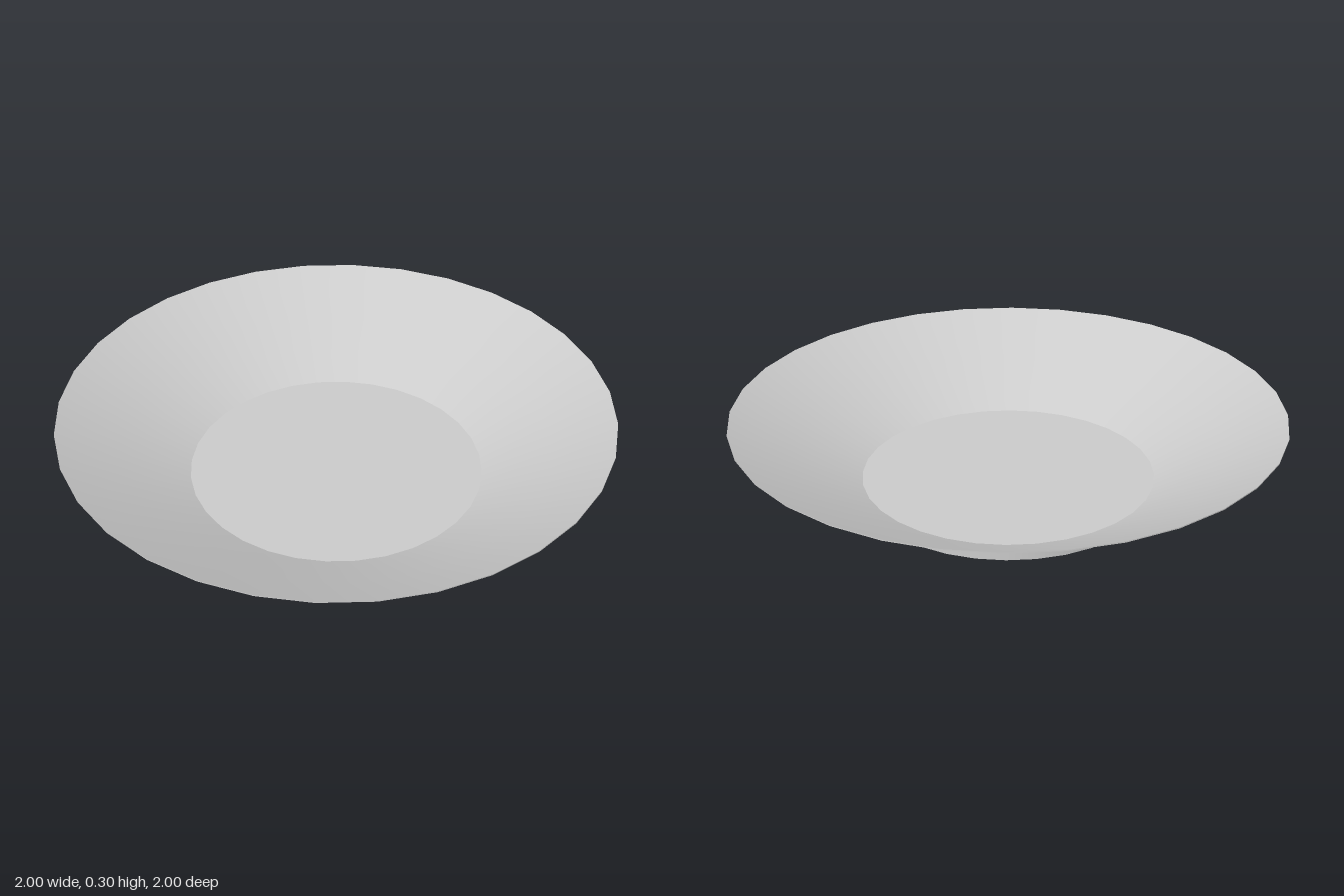
import * as THREE from 'three';

const SIDES = 32;
const FOOT_RADIUS = 0.53;
const FLOOR_Y = 0.06;

export function createModel() {
  const model = new THREE.Group();
  model.name = 'plate';
  const material = new THREE.MeshStandardMaterial({ color: 0xcccccc, side: THREE.DoubleSide });

  const add = (name, geometry, y = 0) => {
    const mesh = new THREE.Mesh(geometry, material);
    mesh.name = name;
    mesh.position.y = y;
    model.add(mesh);
    return mesh;
  };
  const lathe = (profile) =>
    new THREE.LatheGeometry(profile.map(([r, y]) => new THREE.Vector2(r, y)), SIDES);

  // Short round foot, closed underneath
  add('foot', new THREE.CylinderGeometry(FOOT_RADIUS, FOOT_RADIUS, 0.045, SIDES), 0.0225);

  // Flat eating surface
  add('floor', new THREE.CircleGeometry(FOOT_RADIUS, SIDES).rotateX(-Math.PI / 2), FLOOR_Y);

  // Thin flared wall: underside runs upward, upper side runs back down to the floor
  add('wallUnderside', lathe([[FOOT_RADIUS, 0.045], [0.78, 0.176], [1, 0.296]]));
  add('wallUpperSide', lathe([[1, 0.3], [0.78, 0.184], [FOOT_RADIUS, FLOOR_Y]]));

  // Narrow edge closing the rim
  add('rimEdge', lathe([[1, 0.296], [1, 0.3]]));

  return model;
}
